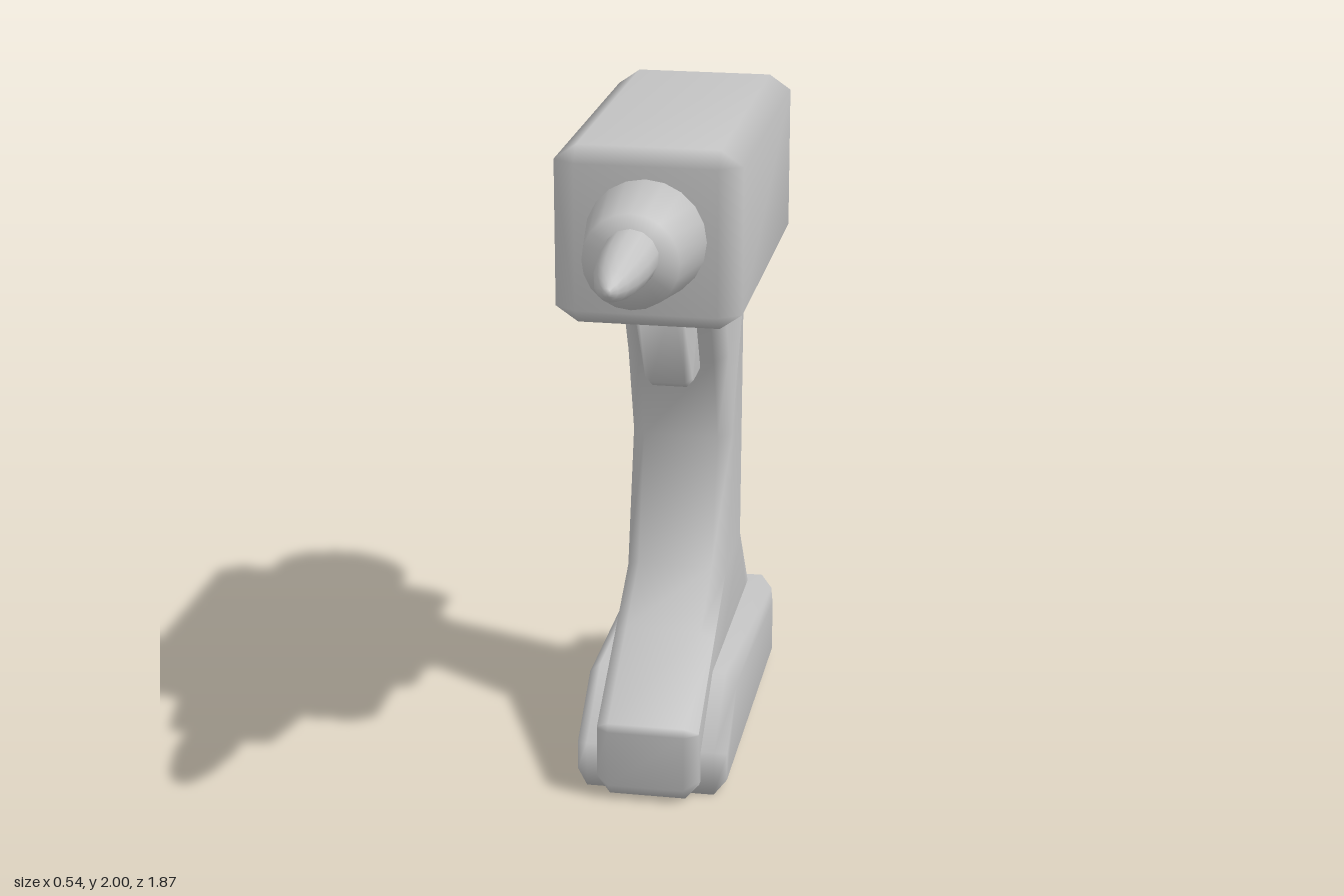
import * as THREE from 'three';
import { mergeVertices } from 'three/addons/utils/BufferGeometryUtils.js';
import { ConvexGeometry } from 'three/addons/geometries/ConvexGeometry.js';

const grey = new THREE.MeshStandardMaterial({ color: 0xc4c4c4 });
grey.name = 'plain grey';

// Weld the corners so shading runs softly over the chamfers
function soften(geometry) {
  geometry.deleteAttribute('normal');
  geometry.deleteAttribute('uv');
  const welded = mergeVertices(geometry, 1e-4);
  welded.computeVertexNormals();
  return welded;
}

// Side profile of [z, y] points, made into a chamfered slab across x
function slab(profile, halfWidth, bevel) {
  const shape = new THREE.Shape(profile.map(([z, y]) => new THREE.Vector2(z, y)));
  const depth = 2 * (halfWidth - bevel);
  const g = new THREE.ExtrudeGeometry(shape, {
    depth, bevelEnabled: true, bevelSegments: 1,
    bevelThickness: bevel, bevelSize: bevel, bevelOffset: -bevel,
  });
  g.translate(0, 0, -depth / 2);
  g.rotateY(-Math.PI / 2);
  return soften(g);
}

// Box with one flat chamfer along every edge
function chamferBox(w, h, d, cx, cy, cz) {
  const points = [];
  for (const sx of [-1, 1]) for (const sy of [-1, 1]) for (const sz of [-1, 1]) {
    const x = w / 2, y = h / 2, z = d / 2;
    points.push(
      new THREE.Vector3(sx * x, sy * (y - cy), sz * (z - cz)),
      new THREE.Vector3(sx * (x - cx), sy * y, sz * (z - cz)),
      new THREE.Vector3(sx * (x - cx), sy * (y - cy), sz * z));
  }
  return soften(new ConvexGeometry(points));
}

export function createModel() {
  const group = new THREE.Group();
  group.name = 'powerDrill';
  const add = (name, geometry, x = 0, y = 0, z = 0) => {
    const mesh = new THREE.Mesh(geometry, grey);
    mesh.name = name;
    mesh.position.set(x, y, z);
    group.add(mesh);
  };

  // Motor housing
  add('housing', chamferBox(0.54, 0.52, 1.06, 0.065, 0.045, 0.045), 0, 1.74, -0.16);

  // Rounded motor cap at the back
  const cap = new THREE.SphereGeometry(0.2, 14, 10);
  cap.rotateX(Math.PI / 2);
  add('motorCap', soften(cap), 0, 1.75, -0.735);

  // Tapered chuck
  const chuck = new THREE.CylinderGeometry(0.137, 0.182, 0.27, 20);
  chuck.rotateX(Math.PI / 2);
  add('chuck', soften(chuck), 0, 1.745, 0.46);

  // Pointed bit
  const bitProfile = [[0.079, -0.05], [0.079, 0.02], [0.074, 0.12], [0.062, 0.21],
    [0.046, 0.28], [0.028, 0.325], [0.012, 0.343], [0, 0.345]];
  const bit = new THREE.LatheGeometry(bitProfile.map(([r, y]) => new THREE.Vector2(r, y)), 14);
  bit.rotateX(Math.PI / 2);
  add('bit', soften(bit), 0, 1.76, 0.59);

  // Grip, running down to the forward foot
  add('handle', slab([
    [0.04, 1.6], [-0.02, 1.48], [-0.14, 1.22], [-0.22, 0.95], [-0.12, 0.56],
    [0.09, 0.43], [0.39, 0.245], [0.4, 0.22], [0.4, 0.045], [0.365, 0.003],
    [0.2, 0.003], [0.1, 0.12], [-0.66, 0.18], [-0.685, 0.295],
    [-0.485, 0.56], [-0.51, 1.26], [-0.6, 1.48], [-0.65, 1.6],
  ], 0.155, 0.04));

  // Battery pack
  add('battery', slab([
    [0.32, 0], [0.32, 0.14], [0.1, 0.305], [-0.68, 0.305], [-0.73, 0.21], [-0.73, 0],
  ], 0.23, 0.035));

  // Trigger
  add('trigger', slab([
    [0.22, 1.53], [0.01, 1.2], [-0.02, 1.18], [-0.2, 1.18], [-0.2, 1.53],
  ], 0.072, 0.02));

  return group;
}
